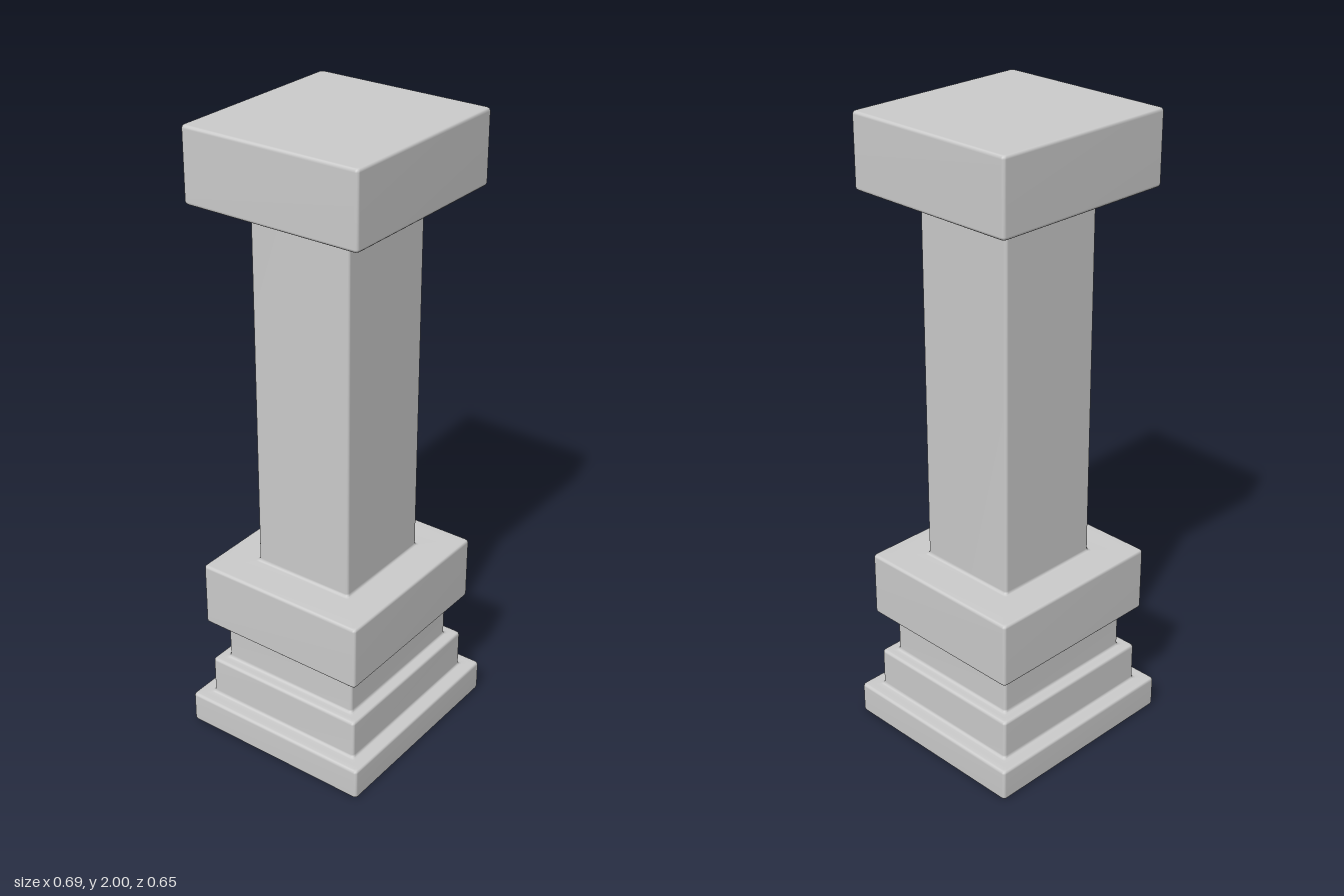
import * as THREE from 'three';

const DEPTH = 0.94;   // depth relative to width
const BEVEL = 0.01;   // rounding of all edges

// Replace each inner corner of a [halfWidth, y] profile by a small arc
function roundProfile(points) {
  const pts = points.map(([x, y]) => new THREE.Vector2(x, y));
  const out = [pts[0]];
  for (let i = 1; i < pts.length - 1; i++) {
    const p = pts[i];
    const toward = (q) => p.clone().add(q.clone().sub(p).setLength(BEVEL));
    const arc = new THREE.QuadraticBezierCurve(toward(pts[i - 1]), p, toward(pts[i + 1]));
    out.push(...arc.getPoints(3));
  }
  out.push(pts[pts.length - 1]);
  return out;
}

// One rounded-rectangle ring, counter-clockwise seen from +z toward +x
function ring(halfX, y) {
  const halfZ = halfX * DEPTH;
  const r = Math.min(BEVEL, halfZ);
  const out = [];
  [[1, 1], [1, -1], [-1, -1], [-1, 1]].forEach(([sx, sz], k) => {
    for (let j = 0; j <= 3; j++) {
      const a = Math.PI / 2 - (k + j / 3) * Math.PI / 2;
      out.push(sx * (halfX - r) + r * Math.cos(a), y, sz * (halfZ - r) + r * Math.sin(a));
    }
  });
  return out;
}

// Skin the rings of a profile into a thin shell
function shell(name, points, material) {
  const profile = roundProfile(points);
  const n = 16;
  const position = profile.flatMap((p) => ring(p.x, p.y));
  const index = [];
  for (let i = 0; i < profile.length - 1; i++) {
    for (let j = 0; j < n; j++) {
      const a = i * n + j, b = i * n + (j + 1) % n;
      index.push(a, b, b + n, a, b + n, a + n);
    }
  }
  const geometry = new THREE.BufferGeometry();
  geometry.setAttribute('position', new THREE.Float32BufferAttribute(position, 3));
  geometry.setIndex(index);
  geometry.computeVertexNormals();
  const mesh = new THREE.Mesh(geometry, material);
  mesh.name = name;
  return mesh;
}

export function createModel() {
  const group = new THREE.Group();
  group.name = 'squareColumn';
  const material = new THREE.MeshStandardMaterial({ color: 0xcccccc, side: THREE.DoubleSide });

  // Tiers from the ground up: name, half width, bottom, top
  const tiers = [
    ['plinth', 0.345, 0, 0.105],
    ['baseStep', 0.295, 0.105, 0.236],
    ['neck', 0.256, 0.236, 0.38],
    ['pedestalBlock', 0.307, 0.38, 0.592],
    ['shaft', 0.181, 0.592, 1.774],
    ['capital', 0.312, 1.774, 2],
  ];

  // Neighbouring tiers meet halfway along the ledge; the foot is open, the top closed
  tiers.forEach(([name, w, y0, y1], i) => {
    const inner = i > 0 ? (w + tiers[i - 1][1]) / 2 : w - 0.015;
    const outer = i < tiers.length - 1 ? (w + tiers[i + 1][1]) / 2 : 0;
    group.add(shell(name, [[inner, y0], [w, y0], [w, y1], [outer, y1]], material));
  });
  return group;
}
